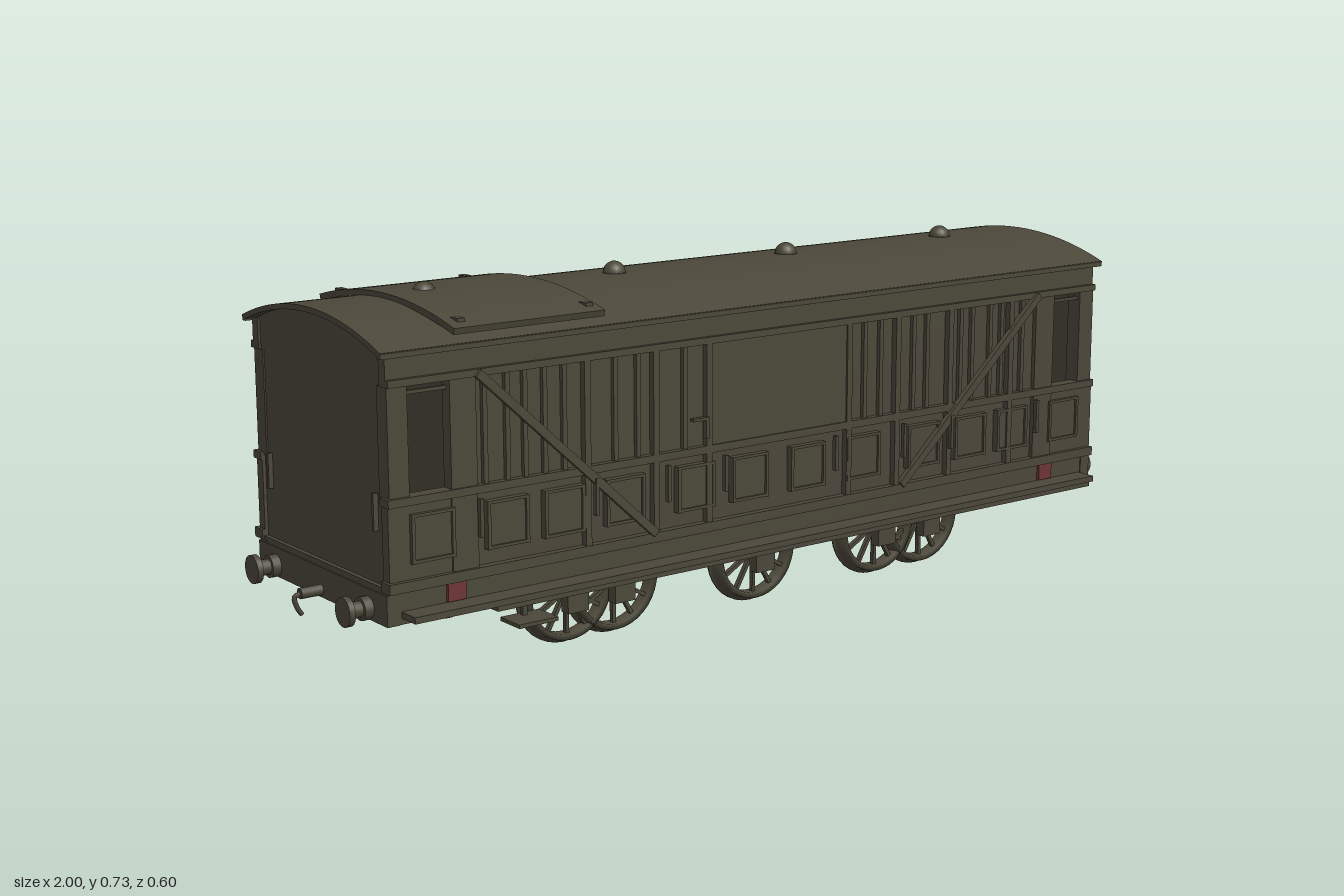
import * as THREE from 'three';

const paint = new THREE.MeshStandardMaterial({ color: 0x4b4739 });
paint.name = 'olive brown';
const red = new THREE.MeshStandardMaterial({ color: 0x6e3434 });
red.name = 'dull red';

function add(parent, name, geo, mat = paint) {
  const m = new THREE.Mesh(geo, mat);
  m.name = name;
  parent.add(m);
  return m;
}

// Box given by its limits on each axis
function box(parent, name, x0, x1, y0, y1, z0, z1, mat = paint) {
  const g = new THREE.BoxGeometry(Math.abs(x1 - x0), Math.abs(y1 - y0), Math.abs(z1 - z0));
  g.translate((x0 + x1) / 2, (y0 + y1) / 2, (z0 + z1) / 2);
  return add(parent, name, g, mat);
}

// Cylinder along x or z
function rod(parent, name, axis, r, len, x, y, z, seg = 16) {
  const g = new THREE.CylinderGeometry(r, r, len, seg);
  if (axis === 'x') g.rotateZ(Math.PI / 2); else g.rotateX(Math.PI / 2);
  const m = add(parent, name, g);
  m.position.set(x, y, z);
  return m;
}

// Curved sheet (or a filled segment) across z, extruded along x
function arch(parent, name, x0, x1, half, yEdge, yTop, thick) {
  const h = yTop - yEdge, R = (half * half + h * h) / (2 * h), a = Math.asin(half / R);
  const s = new THREE.Shape();
  s.absarc(0, yTop - R, R, Math.PI / 2 - a, Math.PI / 2 + a, false);
  if (thick) s.absarc(0, yTop - R, R - thick, Math.PI / 2 + a, Math.PI / 2 - a, true);
  s.closePath();
  const g = new THREE.ExtrudeGeometry(s, { depth: x1 - x0, bevelEnabled: false, curveSegments: 24 });
  g.rotateY(Math.PI / 2).translate(x0, 0, 0);
  return add(parent, name, g);
}

function buildSide(s) {
  const side = new THREE.Group();
  side.name = s > 0 ? 'frontSide' : 'backSide';
  const b = (name, x0, x1, y0, y1, z0, z1, mat) => box(side, name, x0, x1, y0, y1, s * z0, s * z1, mat);

  // Long rails
  b('bottomRail', -0.938, 0.932, 0.205, 0.225, 0.235, 0.268);
  b('waistRail', -0.935, 0.93, 0.368, 0.384, 0.235, 0.266);
  b('topRail', -0.93, 0.925, 0.592, 0.655, 0.235, 0.258);
  b('eaveStrip', -0.93, 0.925, 0.592, 0.606, 0.25, 0.267);

  // Open end compartments: lower wall and corner post
  for (const e of [-1, 1]) {
    b('endLowerWall', e * 0.78, e * 0.932, 0.21, 0.375, 0.235, 0.258);
    b('cornerPost', e * 0.885, e * 0.928, 0.378, 0.592, 0.222, 0.258);
    b('windowPost', e * 0.74, e * 0.797, 0.21, 0.6, 0.235, 0.262);
    const brace = add(side, 'diagonalBrace', new THREE.BoxGeometry(0.555, 0.017, 0.012));
    brace.position.set(e * 0.535, 0.412, s * 0.268);
    brace.rotation.z = e * Math.atan2(0.375, 0.41);
    // Red boxes on the solebar
    b('redBox', e * 0.768, e * 0.808, 0.167, 0.203, 0.248, 0.259, red);
    b('windowRod', e * 0.79, e * 0.89, 0.573, 0.58, 0.242, 0.25);
  }

  // Upright posts
  for (const x of [-0.49, -0.325, -0.192, 0.182, 0.32, 0.475, 0.66])
    b('post', x - 0.007, x + 0.007, 0.22, 0.595, 0.25, 0.266);
  // Narrow upright slats in the upper panels
  for (const x of [-0.72, -0.67, -0.63, -0.585, -0.54, -0.42, -0.365, -0.25, 0.23, 0.275, 0.37, 0.41, 0.51, 0.545, 0.6, 0.635, 0.7])
    b('slat', x - 0.005, x + 0.005, 0.384, 0.592, 0.25, 0.261);

  // Central doors
  b('centreDoor', -0.185, 0.176, 0.384, 0.592, 0.25, 0.262);
  b('doorHandle', -0.235, -0.195, 0.438, 0.444, 0.258, 0.27);
  b('doorHandle', -0.203, -0.195, 0.4, 0.44, 0.258, 0.27);

  // Framed lower panels
  for (const x of [-0.84, -0.675, -0.545, -0.4, -0.225, -0.085, 0.07, 0.225, 0.4, 0.54, 0.67, 0.835]) {
    b('lowerPanel', x - 0.04, x + 0.04, 0.262, 0.345, 0.25, 0.262);
    for (const e of [-1, 1]) {
      b('panelFrame', x + e * 0.04, x + e * 0.047, 0.255, 0.35, 0.25, 0.267);
      b('panelFrame', x - 0.047, x + 0.047, 0.303 + e * 0.041, 0.303 + e * 0.047, 0.25, 0.267);
    }
  }
  // Grab handles beside the doors
  for (const x of [-0.74, -0.475, -0.3, -0.155, 0.14, 0.335, 0.475, 0.74])
    b('grabHandle', x - 0.004, x + 0.004, 0.285, 0.36, 0.266, 0.276);

  // Solebar and footboards
  b('solebar', -0.935, 0.93, 0.14, 0.205, 0.225, 0.252);
  b('footboard', -0.905, 0.905, 0.152, 0.165, 0.245, 0.3);
  b('footboardBracket', -0.72, 0.9, 0.14, 0.152, 0.25, 0.292);
  b('lowStep', -0.65, -0.56, 0.084, 0.092, 0.19, 0.258);
  b('stepHanger', -0.61, -0.6, 0.09, 0.15, 0.2, 0.21);
  return side;
}

// Spoked wheel with flange, facing s along z
function buildWheel(x, s) {
  const w = new THREE.Group();
  w.name = 'wheel';
  const pts = [[0.09, -0.015], [0.112, -0.015], [0.112, -0.01], [0.104, -0.007], [0.102, 0.015], [0.09, 0.015], [0.09, -0.015]];
  const tyre = new THREE.LatheGeometry(pts.map(p => new THREE.Vector2(p[0], p[1])), 36);
  add(w, 'tyre', tyre.rotateX(Math.PI / 2));
  rod(w, 'hub', 'z', 0.02, 0.034, 0, 0, 0);
  for (let i = 0; i < 12; i++) {
    const g = new THREE.BoxGeometry(0.008, 0.08, 0.01);
    g.translate(0, 0.053, 0).rotateZ(i * Math.PI / 6);
    add(w, 'spoke', g);
  }
  w.position.set(x, 0.112, s * 0.167);
  if (s < 0) w.rotation.y = Math.PI;
  return w;
}

function buildEnd(e) {
  const end = new THREE.Group();
  end.name = e > 0 ? 'leftEnd' : 'rightEnd';
  const b = (name, x0, x1, y0, y1, z0, z1, mat) => box(end, name, e * x0, e * x1, y0, y1, z0, z1, mat);
  b('endWall', 0.898, 0.925, 0.205, 0.656, -0.254, 0.254);
  b('bufferBeam', 0.91, 0.937, 0.14, 0.2, -0.254, 0.254);
  b('endSill', 0.91, 0.934, 0.2, 0.212, -0.254, 0.254);
  b('brakeRod', 0.785, 0.8, 0.128, 0.136, -0.235, 0.235, red);
  for (const s of [-1, 1]) {
    b('handrail', 0.925, 0.935, 0.315, 0.387, s * 0.204, s * 0.211);
    // Buffers
    rod(end, 'bufferShank', 'x', 0.016, 0.055, e * 0.96, 0.163, s * 0.183);
    rod(end, 'bufferHousing', 'x', 0.023, 0.02, e * 0.945, 0.163, s * 0.183);
    rod(end, 'bufferHead', 'x', 0.029, 0.012, e * 0.985, 0.163, s * 0.183, 24);
  }
  // Coupling hook
  rod(end, 'drawbar', 'x', 0.011, 0.05, e * 0.958, 0.155, 0);
  const hook = new THREE.CatmullRomCurve3([[0.975, 0.155], [0.994, 0.15], [0.99, 0.13], [0.98, 0.113]]
    .map(p => new THREE.Vector3(e * p[0], p[1], 0)));
  add(end, 'couplingHook', new THREE.TubeGeometry(hook, 12, 0.005, 6));
  return end;
}

export function createModel() {
  const model = new THREE.Group();
  model.name = 'railwayCarriage';

  // Body core and floor
  box(model, 'bodyCore', -0.795, 0.785, 0.2, 0.65, -0.252, 0.252);
  box(model, 'floor', -0.93, 0.925, 0.14, 0.21, -0.235, 0.235);
  for (const s of [1, -1]) model.add(buildSide(s), buildEnd(s));

  // Roof, with gable infill and a ceiling
  arch(model, 'roof', -0.945, 0.94, 0.271, 0.658, 0.709, 0.011);
  arch(model, 'gableInfill', -0.925, 0.92, 0.258, 0.65, 0.699, 0);
  for (const s of [1, -1]) box(model, 'gutter', -0.945, 0.94, 0.647, 0.659, s * 0.258, s * 0.27);

  // Raised roof hatch with corner studs
  arch(model, 'roofHatch', -0.78, -0.44, 0.256, 0.685, 0.719, 0.013);
  for (const x of [-0.75, -0.46]) for (const s of [1, -1])
    box(model, 'hatchStud', x - 0.008, x + 0.008, 0.686, 0.698, s * 0.208, s * 0.232);

  // Roof vents
  for (const x of [-0.69, -0.235, 0.225, 0.685]) {
    const v = add(model, 'roofVent', new THREE.SphereGeometry(0.024, 16, 8, 0, Math.PI * 2, 0, Math.PI / 2));
    v.position.set(x, 0.709, 0);
    const c = add(model, 'ventBase', new THREE.CylinderGeometry(0.025, 0.025, 0.012, 16));
    c.position.set(x, 0.704, 0);
  }

  // Running gear
  for (const x of [-0.48, -0.365, 0, 0.345, 0.48]) {
    rod(model, 'axle', 'z', 0.014, 0.4, x, 0.105, 0);
    for (const s of [1, -1]) {
      model.add(buildWheel(x, s));
      box(model, 'axleBox', x - 0.025, x + 0.025, 0.075, 0.14, s * 0.188, s * 0.212);
      box(model, 'spring', x - 0.07, x + 0.07, 0.122, 0.136, s * 0.19, s * 0.23);
    }
  }
  return model;
}
